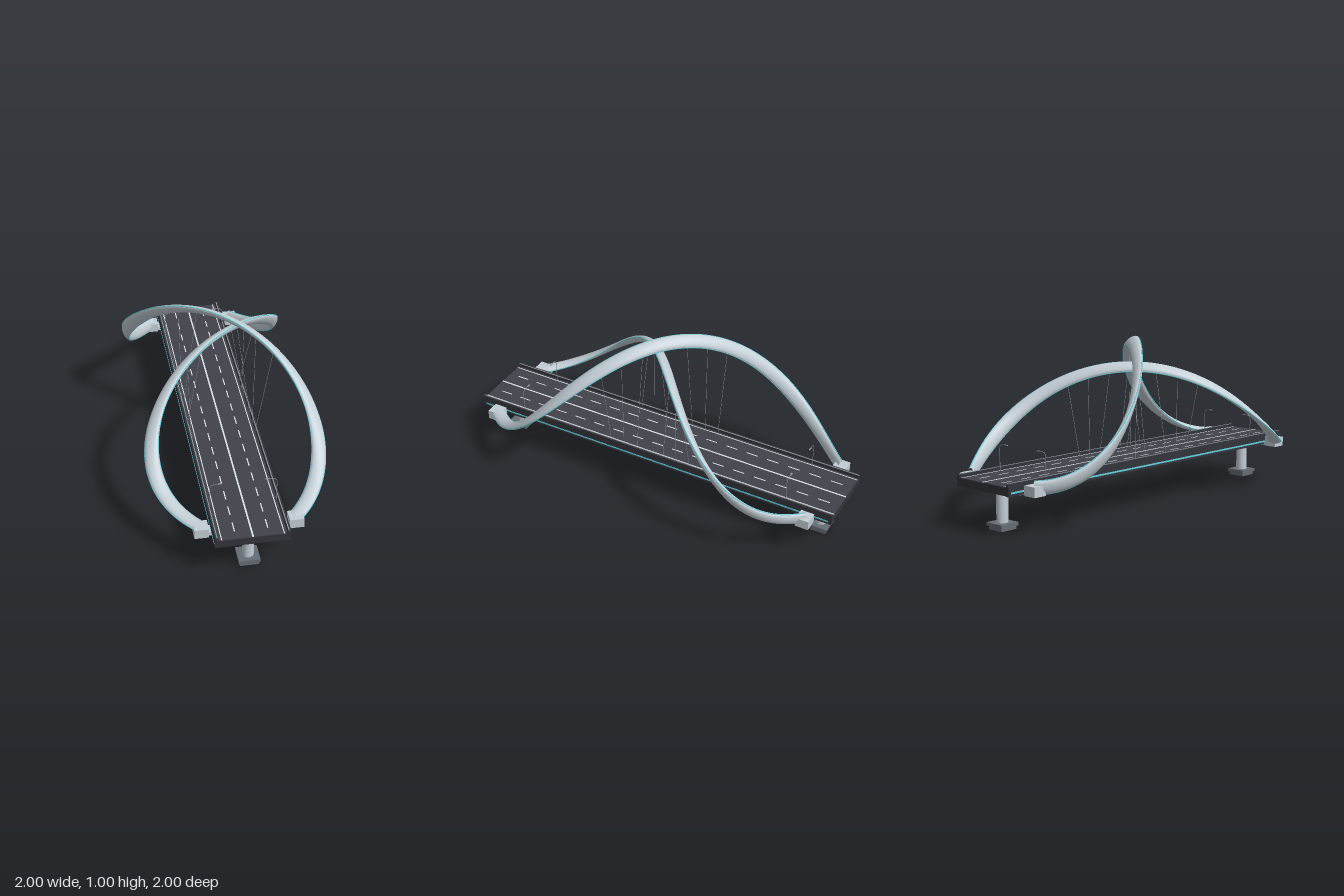
import * as THREE from 'three';

const mat = (name, color) => {
  const m = new THREE.MeshStandardMaterial({ color });
  m.name = name;
  return m;
};

export function createModel() {
  const M = {
    steel: mat('paleSteel', 0xc3ced5),
    asphalt: mat('asphalt', 0x41414a),
    deck: mat('darkDeck', 0x33333b),
    line: mat('laneWhite', 0xdfe9ec),
    cyan: mat('cyanAccent', 0x62cfe0),
    cable: mat('cableGrey', 0x8f989e),
    base: mat('footingGrey', 0x666d74),
  };
  const root = new THREE.Group();
  root.name = 'archBridge';
  // Local frame: u (x) runs along the road, v (z) across it, turned 45 degrees
  const bridge = new THREE.Group();
  bridge.name = 'bridge';
  bridge.rotation.y = Math.PI / 4;
  root.add(bridge);

  const add = (name, geo, material) => {
    const mesh = new THREE.Mesh(geo, material);
    mesh.name = name;
    bridge.add(mesh);
  };
  const box = (name, material, sx, sy, sz, x, y, z) =>
    add(name, new THREE.BoxGeometry(sx, sy, sz).translate(x, y, z), material);
  const V = (x, y, z) => new THREE.Vector3(x, y, z);

  const L = 2.404, HW = 0.212, END = 1.06, ROAD = 0.286;

  // Deck, road surface and markings
  box('deck', M.deck, L, 0.046, HW * 2, 0, 0.259, 0);
  box('roadSurface', M.asphalt, L, 0.004, 0.38, 0, ROAD - 0.002, 0);
  box('centreLine', M.line, L, 0.002, 0.01, 0, ROAD, 0);
  for (const s of [-1, 1]) {
    box('edgeLine', M.line, L, 0.002, 0.006, 0, ROAD, s * 0.174);
    box('parapet', M.deck, L, 0.07, 0.018, 0, 0.268, s * (HW - 0.009));
    box('handrail', M.cable, L, 0.003, 0.006, 0, 0.3035, s * 0.199);
    box('sideStripe', M.cyan, L * 0.985, 0.01, 0.004, 0, 0.252, s * HW);
    for (let i = 0; i < 17; i++)
      box('laneDash', M.line, 0.074, 0.002, 0.007, (i - 8) * 0.138, ROAD, s * 0.093);
  }

  // Piers with tapered crossheads and arch anchor blocks
  for (const e of [-1, 1]) {
    const u = e * END;
    box('lowerFooting', M.base, 0.108, 0.02, 0.108, u, 0.01, 0);
    box('upperFooting', M.base, 0.124, 0.02, 0.124, u, 0.03, 0);
    add('column', new THREE.CylinderGeometry(0.034, 0.034, 0.18, 20).translate(u, 0.12, 0), M.steel);
    const shape = new THREE.Shape([
      [-0.26, 0.255], [-0.26, 0.236], [-0.06, 0.203],
      [0.06, 0.203], [0.26, 0.236], [0.26, 0.255],
    ].map(([x, y]) => new THREE.Vector2(x, y)));
    const head = new THREE.ExtrudeGeometry(shape, { depth: 0.06, bevelEnabled: false });
    add('crosshead', head.translate(0, 0, -0.03).rotateY(Math.PI / 2).translate(u, 0, 0), M.steel);
    for (const s of [-1, 1])
      box('anchorBlock', M.steel, 0.082, 0.058, 0.082, u, 0.256, s * 0.268);
  }

  // Crossing arches: cosine rise, sine sway across the road
  const archPoint = (u, s, peak) => V(
    u,
    0.27 + (peak - 0.27) * 0.5 * (1 + Math.cos(Math.PI * u / END)),
    s * 0.478 * Math.sin(2.42 * u));
  const N = 120, SIDES = 24;
  // Flattened oval section that rolls from flat at one foot to upright at the other
  const sectionAt = (u, s, peak) => {
    const p = archPoint(u, s, peak);
    const t = archPoint(u + 0.001, s, peak).sub(archPoint(u - 0.001, s, peak)).normalize();
    const n = t.clone().cross(V(0, 1, 0)).normalize();
    const b = n.clone().cross(t);
    const roll = s * 0.7 * (1 + u / END);
    const wide = n.clone().multiplyScalar(Math.cos(roll)).addScaledVector(b, Math.sin(roll));
    const thin = wide.clone().cross(t);
    return (a) => p.clone()
      .addScaledVector(wide, 0.041 * Math.cos(a))
      .addScaledVector(thin, 0.019 * Math.sin(a));
  };
  for (const [s, peak, name] of [[-1, 0.969, 'tallArch'], [1, 0.815, 'lowArch']]) {
    const pos = [], idx = [];
    const strips = [[], []];
    for (let i = 0; i <= N; i++) {
      const at = sectionAt(END * (2 * i / N - 1), s, peak);
      for (let j = 0; j < SIDES; j++) pos.push(...at(j / SIDES * Math.PI * 2).toArray());
      strips.forEach((list, k) => list.push(at(k * Math.PI)));
      if (i === N) continue;
      for (let j = 0; j < SIDES; j++) {
        const a = i * SIDES + j, b = i * SIDES + (j + 1) % SIDES;
        idx.push(a, a + SIDES, b, b, a + SIDES, b + SIDES);
      }
    }
    const geo = new THREE.BufferGeometry();
    geo.setAttribute('position', new THREE.Float32BufferAttribute(pos, 3));
    geo.setIndex(idx);
    geo.computeVertexNormals();
    add(name, geo, M.steel);
    // Accent strips along both rims
    for (const pts of strips)
      add(name + 'Strip', new THREE.TubeGeometry(new THREE.CatmullRomCurve3(pts), N, 0.0032, 6), M.cyan);
    // Hanger cables down to the deck edges
    for (const e of [-1, 1]) for (const u of [0.09, 0.18, 0.27]) {
      const line = new THREE.LineCurve3(archPoint(e * u, s, peak), V(e * u, 0.29, e * s * 0.19));
      add('hangerCable', new THREE.TubeGeometry(line, 1, 0.0013, 6), M.cable);
    }
  }

  // Street lamps with inward arms
  for (const e of [-1, 1]) for (const s of [-1, 1]) {
    const u = e * 0.905;
    const path = new THREE.CatmullRomCurve3([
      V(u, 0.285, s * 0.19), V(u, 0.36, s * 0.19), V(u, 0.422, s * 0.188),
      V(u, 0.434, s * 0.172), V(u, 0.437, s * 0.135)]);
    add('lampPost', new THREE.TubeGeometry(path, 20, 0.0017, 6), M.cable);
    box('lampHead', M.cable, 0.008, 0.004, 0.022, u, 0.436, s * 0.133);
  }
  return root;
}
